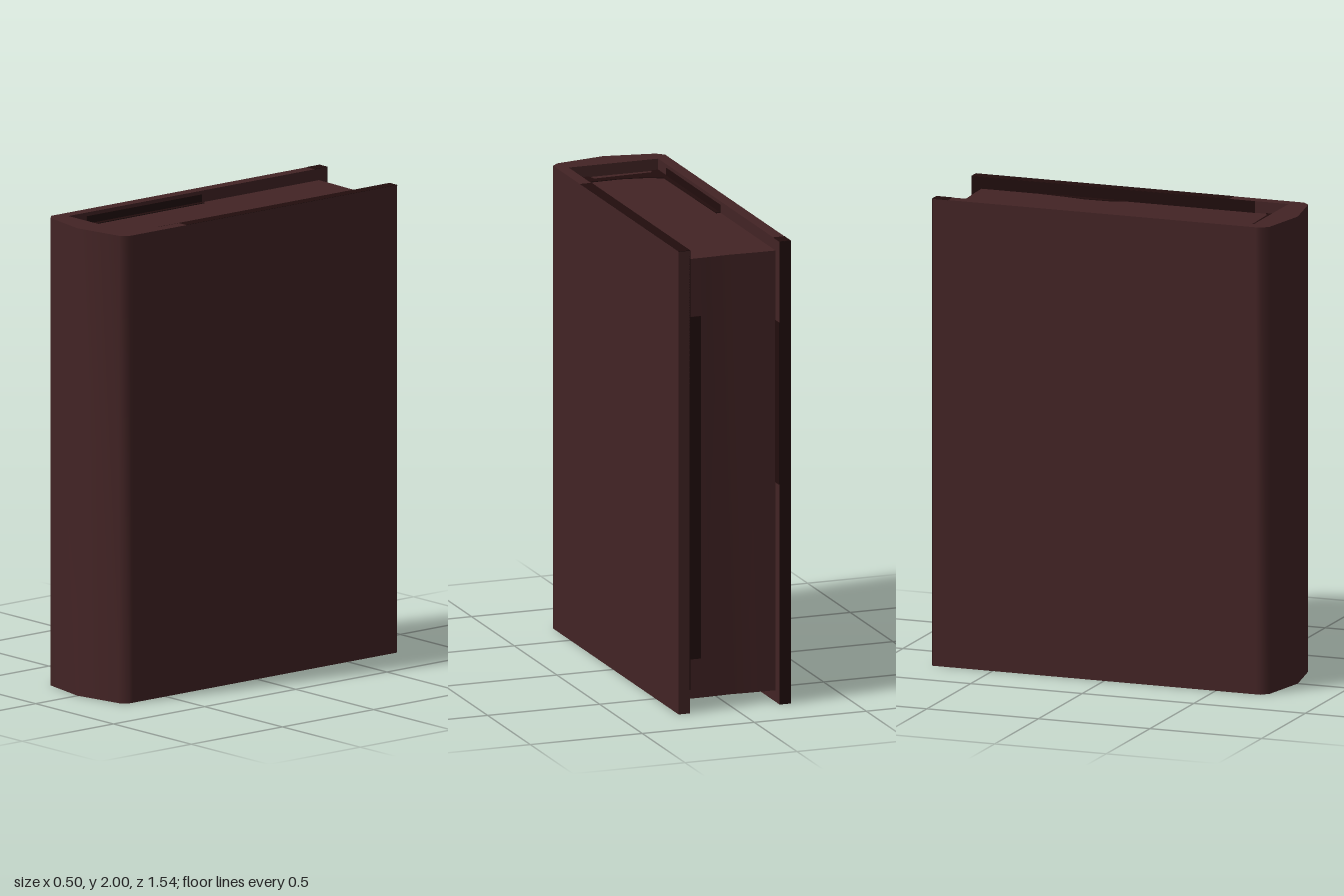
import * as THREE from 'three';
import { toCreasedNormals } from 'three/addons/utils/BufferGeometryUtils.js';

export function createModel() {
  const book = new THREE.Group();
  book.name = 'book';

  const leather = new THREE.MeshStandardMaterial({ color: 0x432425 });
  leather.name = 'dark red leather';
  const shade = new THREE.MeshStandardMaterial({ color: 0x210d0d });
  shade.name = 'blackened stain';

  // Upright prism from an outline of [x, z] points
  function prism(name, points, bottom, height, material) {
    const shape = new THREE.Shape(points.map(([x, z]) => new THREE.Vector2(x, -z)));
    let geometry = new THREE.ExtrudeGeometry(shape, { depth: height, bevelEnabled: false });
    geometry.rotateX(-Math.PI / 2);
    geometry = toCreasedNormals(geometry, 0.95);
    const mesh = new THREE.Mesh(geometry, material);
    mesh.name = name;
    mesh.position.y = bottom;
    book.add(mesh);
  }

  // Thin box given by its minimum and maximum corners
  function plate(name, min, max) {
    const size = max.map((v, i) => v - min[i]);
    const mesh = new THREE.Mesh(new THREE.BoxGeometry(...size), shade);
    mesh.name = name;
    mesh.position.set(...min.map((v, i) => v + size[i] / 2));
    book.add(mesh);
  }

  // Cover: two boards joined by a rounded spine
  prism('cover', [
    [0.25, -0.77], [0.25, 0.68], [0.25, 0.7], [0.22, 0.73], [0, 0.77],
    [-0.22, 0.73], [-0.25, 0.7], [-0.25, 0.68], [-0.25, -0.77],
    [-0.2, -0.77], [-0.2, 0.65], [0.2, 0.65], [0.2, -0.77],
  ], 0, 2, leather);

  // Page block, slightly recessed, with a hollow fore edge
  const low = 0.05, high = 1.95, t = 0.003;
  prism('pages', [
    [-0.2, 0.65], [0.2, 0.65], [0.2, -0.725], [0.1, -0.723],
    [0, -0.718], [-0.1, -0.723], [-0.2, -0.725],
  ], low, high - low, leather);

  // Stains on top and bottom of the pages
  prism('spineStain', [
    [-0.2, 0.65], [-0.2, -0.08], [-0.18, -0.08], [-0.175, 0.52], [-0.11, 0.55],
    [0, 0.57], [0.17, 0.565], [0.2, 0.55], [0.2, 0.65], [0.11, 0.65],
    [0.1, 0.61], [-0.16, 0.62], [-0.17, 0.65],
  ], high, t, shade);
  prism('sideStain', [
    [0.2, -0.5], [0.185, -0.35], [0.17, -0.25], [0.175, -0.14], [0.2, -0.07],
  ], high, t, shade);
  prism('bottomStain', [
    [-0.2, 0.65], [-0.05, 0.65], [0, 0.45], [-0.02, 0.05], [-0.1, -0.2], [-0.18, -0.54], [-0.2, -0.54],
  ], low - t, t, shade);

  // Darkened edges of the boards
  plate('leftBoardTopEdge', [0.2, 1.999, -0.771], [0.25, 2.001, 0.385]);
  plate('rightBoardTopEdge', [-0.25, 1.999, -0.771], [-0.2, 2.001, -0.7]);
  plate('rightBoardBackEdge', [-0.25, 0, -0.772], [-0.2, 2, -0.769]);

  // Darkened inner faces around the page block
  plate('leftBoardInnerTop', [0.2 - t, high, -0.77], [0.201, 2, 0.5]);
  plate('leftBoardInnerBack', [0.2 - t, 0.1, -0.77], [0.201, high, -0.72]);
  plate('rightBoardInnerTop', [-0.201, high, -0.08], [-0.2 + t, 1.985, 0.55]);
  plate('rightBoardInnerBack', [-0.201, 0.95, -0.77], [-0.2 + t, 1.65, -0.72]);
  plate('foreEdgeStain', [0.135, 0.22, -0.728], [0.2, 1.7, -0.721]);

  return book;
}
